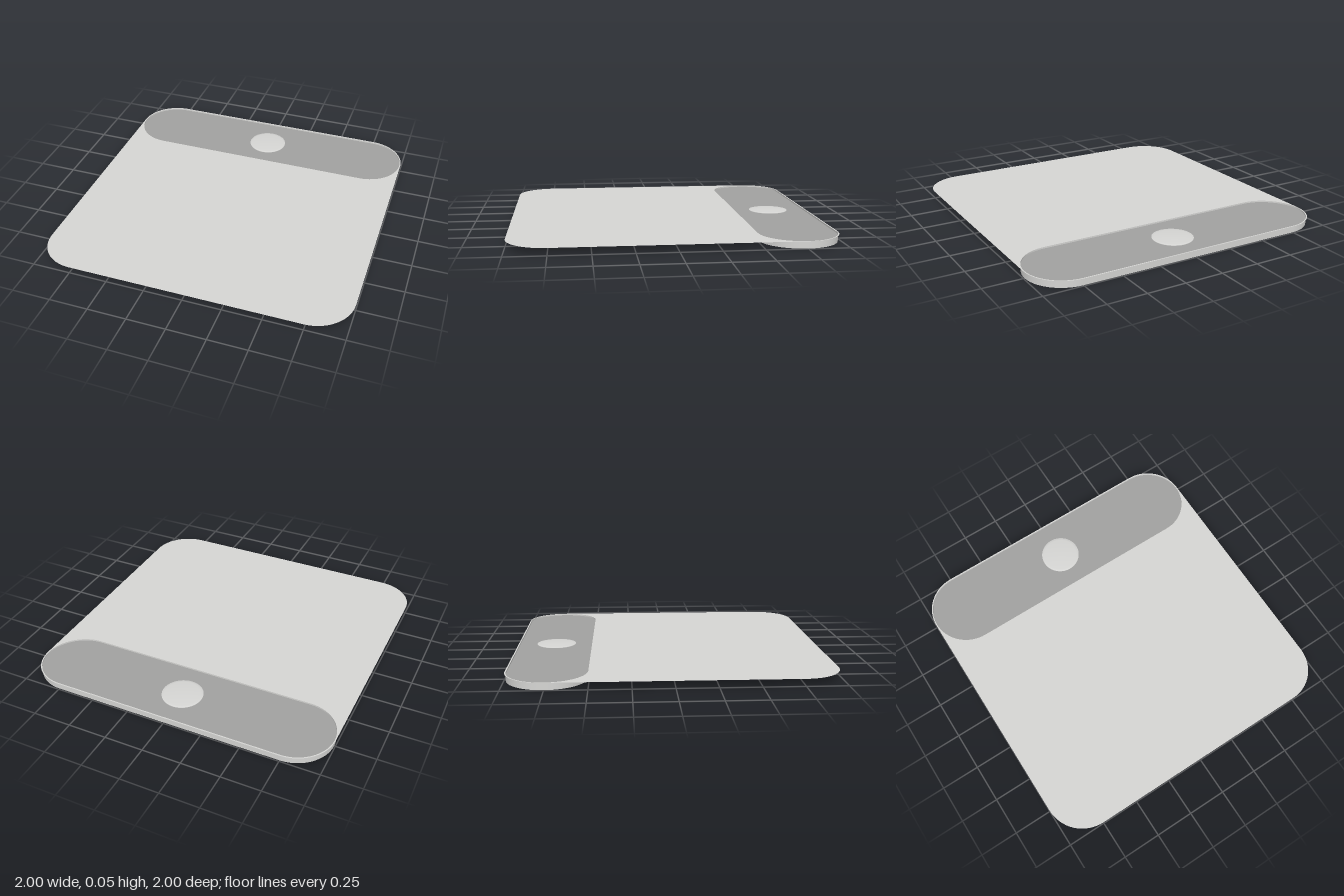
import * as THREE from 'three';

const TOP = 0.045;      // height of the sheet
const RECESS = 0.035;   // height of the sunken panel

const light = new THREE.MeshStandardMaterial({ color: 0xd6d6d4, side: THREE.DoubleSide });
light.name = 'lightGrey';
const dark = new THREE.MeshStandardMaterial({ color: 0xa2a2a1, side: THREE.DoubleSide });
dark.name = 'darkGrey';

// Outline with round corners of radius r about centres at (+-cx, y0) and (+-cx, y1), counter-clockwise
function roundedOutline(cx, y0, y1, r, steps = 16) {
  const points = [];
  [[cx, y0], [cx, y1], [-cx, y1], [-cx, y0]].forEach(([x, y], corner) => {
    for (let i = 0; i <= steps; i++) {
      const a = (corner - 1 + i / steps) * Math.PI / 2;
      points.push(new THREE.Vector2(x + r * Math.cos(a), y + r * Math.sin(a)));
    }
  });
  return points;
}

// Flat horizontal plate from a shape
function plate(shape, y) {
  return new THREE.ShapeGeometry(shape).rotateX(-Math.PI / 2).translate(0, y, 0);
}

// Upright band that follows a closed outline
function band(outline, y0, y1) {
  const pos = [], index = [], n = outline.length;
  outline.forEach((p, i) => {
    const a = 2 * i, b = 2 * ((i + 1) % n);
    pos.push(p.x, y0, -p.y, p.x, y1, -p.y);
    index.push(a, b, b + 1, a, b + 1, a + 1);
  });
  const g = new THREE.BufferGeometry();
  g.setAttribute('position', new THREE.Float32BufferAttribute(pos, 3));
  g.setIndex(index);
  g.computeVertexNormals();
  return g;
}

export function createModel() {
  const group = new THREE.Group();
  group.name = 'panel';
  const add = (name, geometry, material) => {
    const mesh = new THREE.Mesh(geometry, material);
    mesh.name = name;
    group.add(mesh);
    return mesh;
  };

  // The recess is a long slot with round ends along the back
  const slot = roundedOutline(0.75, 0.749, 0.749, 0.243);

  // Main sheet, cut out around the slot
  const sheet = new THREE.Shape(roundedOutline(0.75, -0.75, 0.75, 0.25));
  sheet.holes.push(new THREE.Path(slot));
  add('sheet', plate(sheet, TOP), light);

  // Wall round the slot and the panel sunk in it
  add('slotWall', band(slot, 0, TOP), light);
  add('slotPanel', plate(new THREE.Shape(slot), RECESS), dark);

  // Low domed button in the middle of the slot
  const profile = [new THREE.Vector2(0.13, RECESS)];
  for (let i = 0; i <= 8; i++) {
    const r = 0.13 * (1 - i / 8);
    profile.push(new THREE.Vector2(r, TOP - 0.006 * (r / 0.13) ** 2));
  }
  add('button', new THREE.LatheGeometry(profile, 40), light).position.z = -0.747;

  return group;
}
